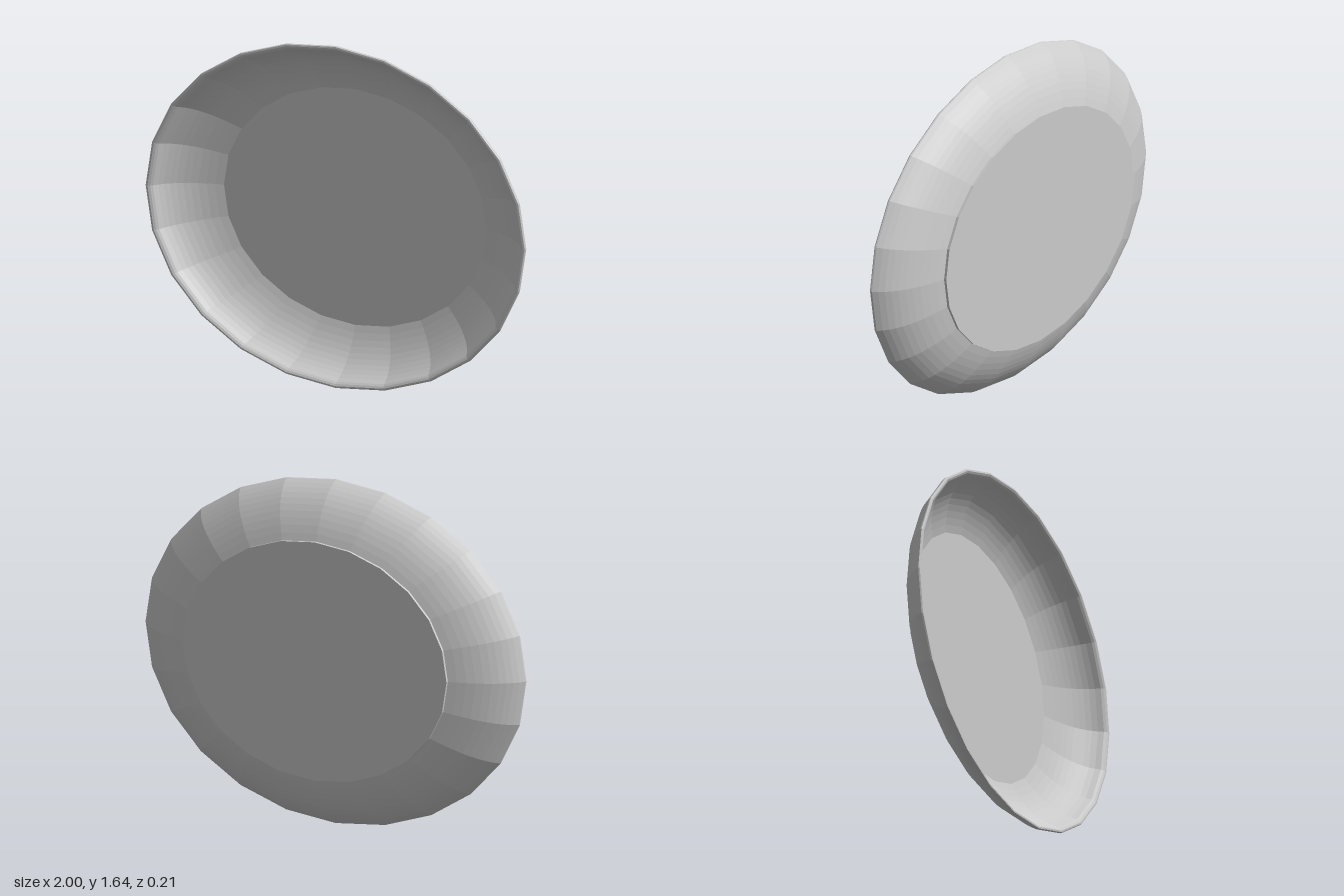
import * as THREE from 'three';

const SIDES = 24;
const HEIGHT_RATIO = 0.818; // oval: height relative to width

const v = (r, z) => new THREE.Vector2(r, z);
const curve = (a, b, c, n) => new THREE.QuadraticBezierCurve(a, b, c).getPoints(n);

// Spin a profile of (radius, depth) about the z axis and squash it into an oval
function ovalLathe(name, profile, material) {
  const geometry = new THREE.LatheGeometry(profile, SIDES);
  geometry.rotateX(Math.PI / 2);
  geometry.scale(1, HEIGHT_RATIO, 1);
  const mesh = new THREE.Mesh(geometry, material);
  mesh.name = name;
  mesh.position.y = HEIGHT_RATIO;
  return mesh;
}

export function createModel() {
  const group = new THREE.Group();
  group.name = 'ovalDish';
  const material = new THREE.MeshStandardMaterial({ color: 0xcccccc, flatShading: true });

  // Dish: curved outer wall, rounded lip, curved inner wall, flat floor
  const dish = [
    ...curve(v(0.69, -0.092), v(0.925, -0.034), v(0.998, 0.088), 10),
    v(1, 0.095), v(0.996, 0.101), v(0.987, 0.102), v(0.976, 0.097),
    ...curve(v(0.966, 0.088), v(0.9, -0.03), v(0.69, -0.083), 10),
    v(0, -0.083),
  ];
  group.add(ovalLathe('dish', dish, material));

  // Foot: thin flat disc on the back
  const foot = [v(0, -0.104), v(0.693, -0.104), v(0.693, -0.09), v(0.66, -0.09)];
  group.add(ovalLathe('foot', foot, material));

  return group;
}
